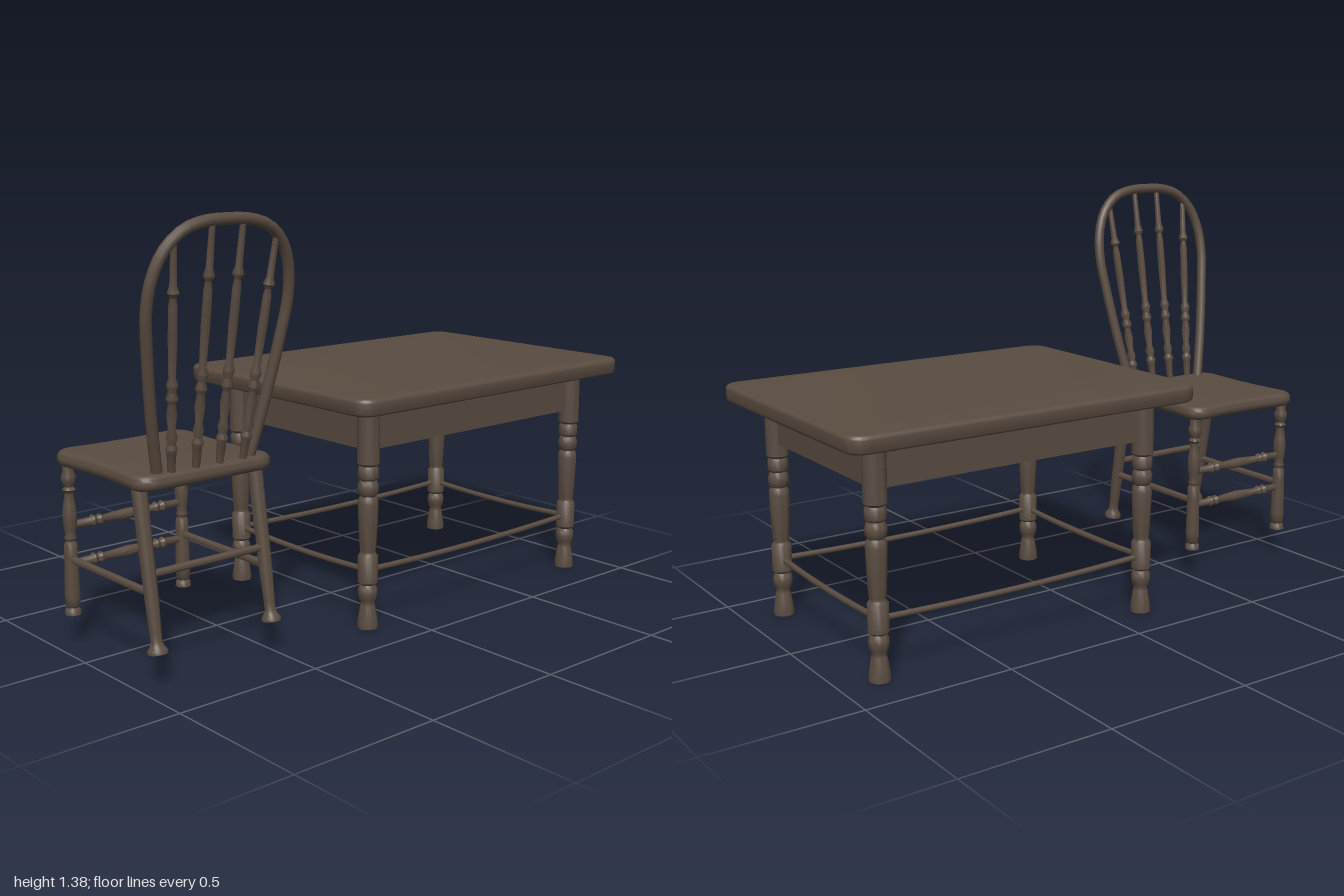
import * as THREE from 'three';
import { toCreasedNormals } from 'three/addons/utils/BufferGeometryUtils.js';

const wood = new THREE.MeshStandardMaterial({ color: 0x5a4c41 });
wood.name = 'dark wood';

const V = (x, y, z) => new THREE.Vector3(x, y, z);

function add(parent, name, geometry) {
  const mesh = new THREE.Mesh(geometry, wood);
  mesh.name = name;
  parent.add(mesh);
  return mesh;
}

// Turned part between two points; profile is [fraction along, radius]
function turned(parent, name, a, b, profile, sides = 14) {
  const axis = b.clone().sub(a), length = axis.length();
  const pts = profile.map(([t, r]) => new THREE.Vector2(r, t * length));
  pts.unshift(new THREE.Vector2(0, pts[0].y));
  pts.push(new THREE.Vector2(0, pts[pts.length - 1].y));
  const mesh = add(parent, name, toCreasedNormals(new THREE.LatheGeometry(pts, sides), 0.8));
  mesh.position.copy(a);
  mesh.quaternion.setFromUnitVectors(V(0, 1, 0), axis.normalize());
  return mesh;
}

// Rounded slab with softened edges; pinch draws the long edges inward
function slab(parent, name, [x0, x1], [z0, z1], [y0, y1], radius, bevel, pinch) {
  const w = (x1 - x0) / 2 - bevel, d = (z1 - z0) / 2 - bevel, r = radius - bevel;
  const s = new THREE.Shape();
  s.moveTo(-w + r, -d);
  s.quadraticCurveTo(0, -d + pinch, w - r, -d);
  s.quadraticCurveTo(w, -d, w, -d + r);
  s.lineTo(w, d - r);
  s.quadraticCurveTo(w, d, w - r, d);
  s.quadraticCurveTo(0, d - pinch, -w + r, d);
  s.quadraticCurveTo(-w, d, -w, d - r);
  s.quadraticCurveTo(-w + pinch, 0, -w, -d + r);
  s.quadraticCurveTo(-w, -d, -w + r, -d);
  const geo = new THREE.ExtrudeGeometry(s, {
    depth: y1 - y0 - 2 * bevel, bevelSize: bevel, bevelThickness: bevel, bevelSegments: 4, curveSegments: 8,
  });
  geo.rotateX(-Math.PI / 2);
  geo.translate((x0 + x1) / 2, y0 + bevel, (z0 + z1) / 2);
  return add(parent, name, toCreasedNormals(geo, 0.7));
}

function buildTable() {
  const table = new THREE.Group();
  table.name = 'table';
  const lx = 0.337, zf = 0.135, zb = -0.865, zc = (zf + zb) / 2;
  slab(table, 'tableTop', [-0.465, 0.465], [-1, 0.27], [0.733, 0.79], 0.065, 0.014, 0);

  // Legs: foot, ball, lower drum, long taper, rings and upper block
  const legProfile = [
    [0, 0.034], [0.02, 0.034], [0.075, 0.025], [0.085, 0.022], [0.1, 0.029], [0.12, 0.033], [0.135, 0.031],
    [0.147, 0.024], [0.155, 0.033], [0.245, 0.033], [0.255, 0.025], [0.265, 0.026], [0.28, 0.028],
    [0.36, 0.032], [0.42, 0.034], [0.435, 0.032], [0.445, 0.026], [0.455, 0.033], [0.475, 0.035],
    [0.49, 0.031], [0.498, 0.027], [0.505, 0.034], [0.535, 0.034], [0.545, 0.028], [0.553, 0.037], [0.74, 0.037],
  ].map(([y, r]) => [y / 0.74, r]);
  for (const x of [-lx, lx]) for (const z of [zf, zb])
    turned(table, 'tableLeg', V(x, 0, z), V(x, 0.74, z), legProfile, 18);

  // Apron boards
  for (const z of [zf, zb]) add(table, 'endApron', new THREE.BoxGeometry(2 * lx, 0.14, 0.022)).position.set(0, 0.667, z);
  for (const x of [-lx, lx]) add(table, 'sideApron', new THREE.BoxGeometry(0.022, 0.14, zf - zb)).position.set(x, 0.667, zc);

  // Slightly sagging stretchers
  const rail = (a, b) => {
    const mid = a.clone().add(b).multiplyScalar(0.5);
    mid.y -= 0.02;
    add(table, 'tableStretcher', new THREE.TubeGeometry(new THREE.QuadraticBezierCurve3(a, mid, b), 12, 0.01, 8));
  };
  for (const z of [zf, zb]) rail(V(-lx, 0.195, z), V(lx, 0.195, z));
  for (const x of [-lx, lx]) rail(V(x, 0.195, zf), V(x, 0.195, zb));
  return table;
}

function buildChair() {
  const chair = new THREE.Group();
  chair.name = 'chair';
  chair.position.z = 0.727;
  slab(chair, 'seat', [-0.21, 0.3], [-0.248, 0.248], [0.584, 0.632], 0.065, 0.02, 0.022);

  const frontLeg = [
    [0, 0.026], [0.03, 0.025], [0.045, 0.018], [0.06, 0.023], [0.12, 0.025], [0.38, 0.022], [0.46, 0.021],
    [0.48, 0.015], [0.5, 0.02], [0.53, 0.015], [0.56, 0.02], [0.66, 0.023], [0.72, 0.019], [0.79, 0.014],
    [0.81, 0.021], [0.83, 0.014], [0.87, 0.023], [0.9, 0.023], [0.93, 0.017], [1, 0.021],
  ];
  const backLeg = [
    [0, 0.031], [0.02, 0.031], [0.045, 0.022], [0.07, 0.017], [0.12, 0.018], [0.3, 0.021],
    [0.55, 0.022], [0.75, 0.023], [0.95, 0.024], [1, 0.024],
  ];
  const rung = [[0, 0.012], [1, 0.012]];
  const turnedRung = [
    [0, 0.011], [0.17, 0.014], [0.19, 0.02], [0.22, 0.012], [0.25, 0.019], [0.28, 0.012], [0.42, 0.016],
    [0.5, 0.018], [0.58, 0.016], [0.72, 0.012], [0.75, 0.019], [0.78, 0.012], [0.81, 0.02], [0.83, 0.014], [1, 0.011],
  ];

  // Legs and side rungs
  const lz = 0.212;
  for (const z of [-lz, lz]) {
    turned(chair, 'chairFrontLeg', V(-0.165, 0.1, z), V(-0.165, 0.6, z), frontLeg);
    turned(chair, 'chairBackLeg', V(0.307, 0.105, z), V(0.228, 0.6, z), backLeg);
    turned(chair, 'sideRung', V(-0.165, 0.28, z), V(0.278, 0.28, z), rung);
  }
  // Front and back rungs
  for (const y of [0.265, 0.39]) turned(chair, 'frontRung', V(-0.165, y, -lz), V(-0.165, y, lz), turnedRung);
  turned(chair, 'backRung', V(0.27, 0.335, -lz), V(0.27, 0.335, lz), rung);

  // Bent hoop leaning back
  const lean = y => 0.26 + (y - 0.63) * 0.183;
  const half = [[0.165, 0.61], [0.205, 0.8], [0.238, 1.0], [0.251, 1.11], [0.243, 1.2], [0.21, 1.28], [0.15, 1.335], [0.08, 1.356]];
  const path = [
    ...half.map(([z, y]) => V(lean(y), y, z)),
    V(lean(1.36), 1.36, 0),
    ...half.slice().reverse().map(([z, y]) => V(lean(y), y, -z)),
  ];
  add(chair, 'backHoop', new THREE.TubeGeometry(new THREE.CatmullRomCurve3(path), 56, 0.018, 10));

  // Turned back spindles
  const spindle = [
    [0, 0.011], [0.1, 0.014], [0.12, 0.019], [0.14, 0.012], [0.17, 0.017], [0.2, 0.011], [0.27, 0.016],
    [0.32, 0.012], [0.34, 0.019], [0.37, 0.012], [0.4, 0.018], [0.43, 0.011], [0.6, 0.014],
    [0.74, 0.013], [0.77, 0.01], [0.79, 0.018], [0.82, 0.011], [1, 0.009],
  ];
  for (const s of [-1, 1]) for (const [z0, z1, top] of [[0.043, 0.054, 1.355], [0.13, 0.18, 1.305]])
    turned(chair, 'backSpindle', V(lean(0.62) + 0.018, 0.62, s * z0), V(lean(top) + 0.002, top, s * z1), spindle, 10);
  return chair;
}

export function createModel() {
  const model = new THREE.Group();
  model.name = 'tableAndChair';
  model.add(buildTable(), buildChair());
  return model;
}
